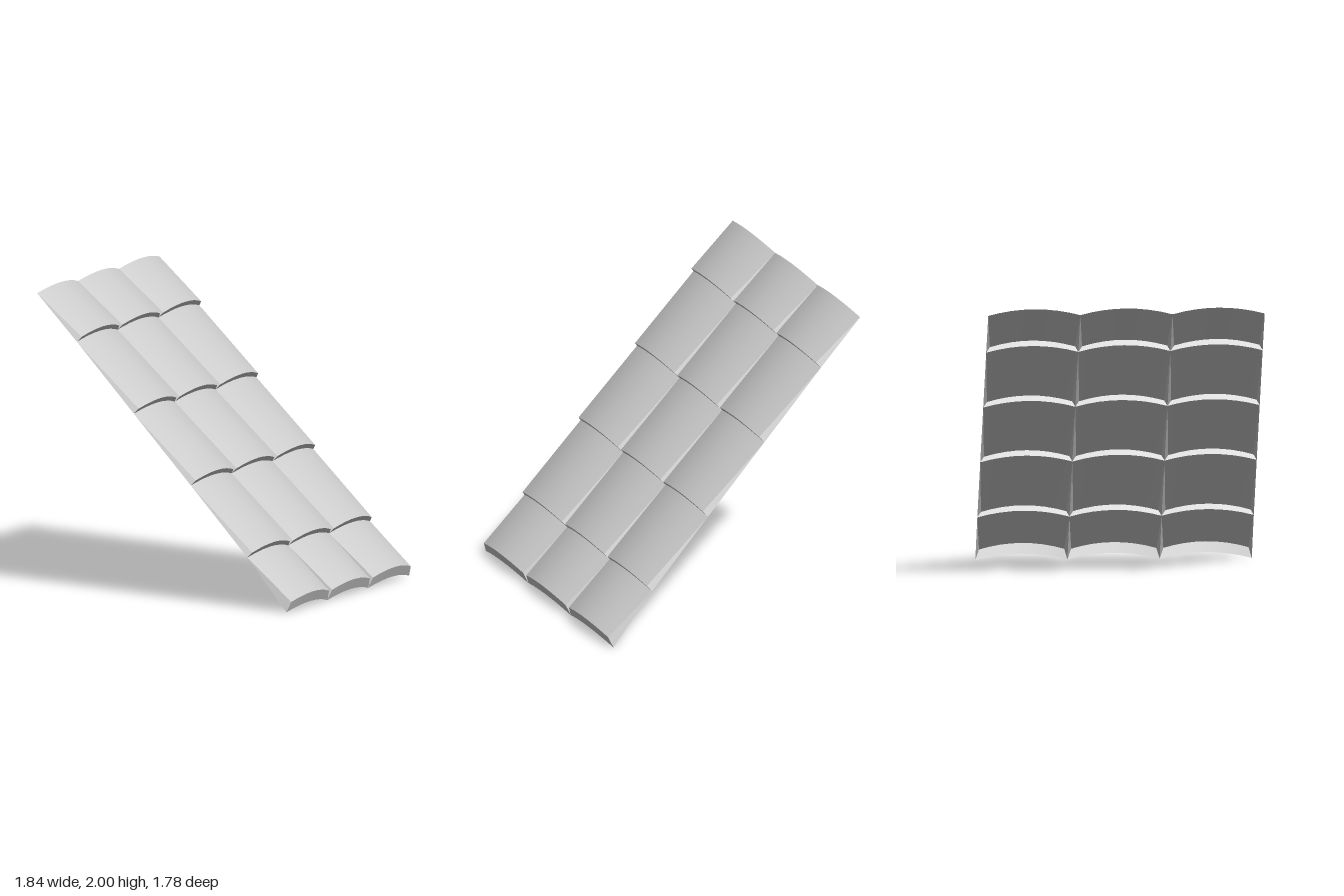
import * as THREE from 'three';
import { mergeGeometries } from 'three/addons/utils/BufferGeometryUtils.js';

const SEG = 8;           // facets across one tile
const WIDTH = 0.595;     // tile width along z
const CREST = [0.025, 0.036]; // rise of the arch in x, y

// Valley line: where each course of tiles starts and ends [x, y]
const VALLEY = [[-0.925, 1.965], [-0.64, 1.667], [-0.23, 1.225], [0.18, 0.784], [0.587, 0.341], [0.868, 0.003]];

// Arched cross-section running from z0 to z1, its ends at (x, y)
function arch(x, y, z0, z1) {
  return Array.from({ length: SEG + 1 }, (_, i) => {
    const t = i / SEG;
    const h = 1 - (2 * t - 1) ** 2;
    return [x + CREST[0] * h, y + CREST[1] * h, z0 + (z1 - z0) * t];
  });
}

function geometryFrom(points, index) {
  const g = new THREE.BufferGeometry();
  g.setAttribute('position', new THREE.Float32BufferAttribute(points.flat(), 3));
  g.setIndex(index);
  g.computeVertexNormals();
  return g;
}

// Smooth strip between two cross-sections
function strip(a, b) {
  const n = a.length;
  const index = [];
  for (let i = 0; i < n - 1; i++) index.push(i, i + 1, n + i, i + 1, n + i + 1, n + i);
  return geometryFrom([...a, ...b], index);
}

// Open shell: arched top, thick lower nose and two wedge-shaped sides
function tileGeometry(row, zMid) {
  const [x0, y0] = VALLEY[row];
  const [x1, y1] = VALLEY[row + 1];
  const last = row === VALLEY.length - 2;
  const zA = zMid - WIDTH / 2;
  const zB = zMid + WIDTH / 2;
  const start = arch(x0, y0, zA, zB);
  const noseLow = arch(x1, y1, zA, zB);
  const noseTop = arch(x1 + 0.025, y1 + (last ? 0.066 : 0.031), zA + 0.025, zB - 0.02);
  return mergeGeometries([
    strip(start, noseTop),
    strip(noseTop, noseLow),
    geometryFrom([start[SEG], noseLow[SEG], noseTop[SEG]], [0, 1, 2]),
    geometryFrom([start[0], noseTop[0], noseLow[0]], [0, 1, 2]),
  ]);
}

export function createModel() {
  const model = new THREE.Group();
  model.name = 'tiledRoofSlope';
  const material = new THREE.MeshStandardMaterial({ color: 0xcccccc, side: THREE.DoubleSide });

  // Courses of tiles from the ridge down to the eaves
  for (let row = 0; row < VALLEY.length - 1; row++) {
    const course = new THREE.Group();
    course.name = `tileCourse${row + 1}`;
    for (let col = -1; col <= 1; col++) {
      const tile = new THREE.Mesh(tileGeometry(row, col * WIDTH), material);
      tile.name = `roofTile${col + 2}`;
      course.add(tile);
    }
    model.add(course);
  }
  return model;
}
